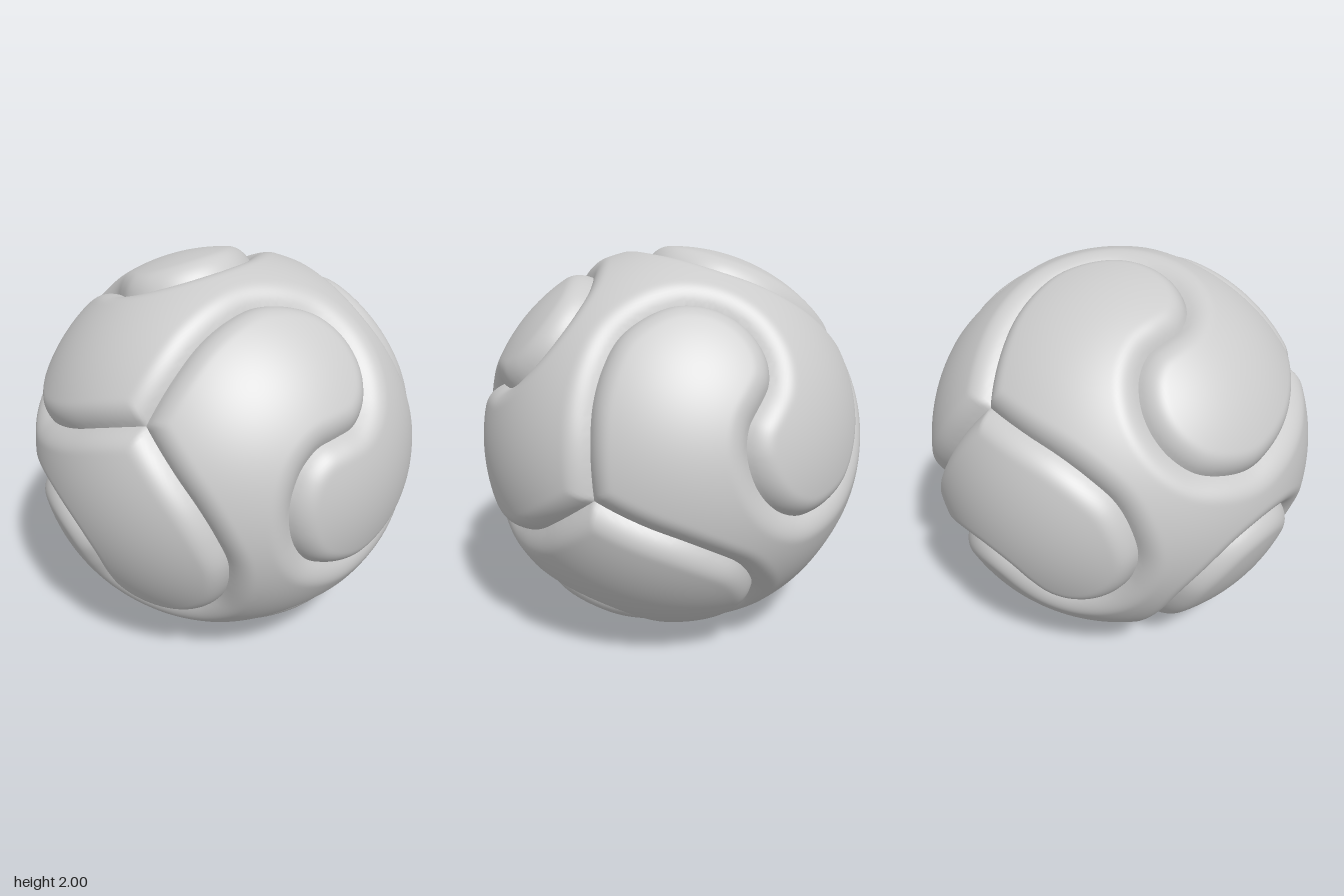
import * as THREE from 'three';
import { mergeVertices } from 'three/addons/utils/BufferGeometryUtils.js';

const GROOVE_DEPTH = 0.063;
const GROOVE_WIDTH = 0.12;
const SNAP = 0.0094; // half the longest mesh edge, so that no edge straddles a seam

// Half of one S-shaped seam, seen along its midpoint: from a three-way corner to the middle.
const HALF_SEAM = [
  [0.5774, 0.5774], [0.681, 0.329], [0.718, 0.147], [0.714, -0.033], [0.672, -0.195],
  [0.575, -0.328], [0.446, -0.422], [0.307, -0.448], [0.195, -0.428], [0.105, -0.382],
  [0.035, -0.315], [-0.015, -0.23], [-0.033, -0.115], [0, 0],
];

// Six seams with the rotational symmetry of a tetrahedron.
function makeSeams() {
  const onSphere = ([u, v]) => new THREE.Vector3(u, v, Math.sqrt(1 - u * u - v * v));
  const mirrored = HALF_SEAM.slice(0, -1).reverse().map(([u, v]) => [-u, -v]);
  const curve = new THREE.CatmullRomCurve3([...HALF_SEAM, ...mirrored].map(onSphere));
  const base = curve.getSpacedPoints(140).map((p) => p.normalize());
  const seams = [];
  for (const flip of [1, -1]) {
    const seam = base.map((p) => new THREE.Vector3(p.x, flip * p.y, flip * p.z));
    seams.push(
      seam,
      seam.map((p) => new THREE.Vector3(p.z, p.x, p.y)),
      seam.map((p) => new THREE.Vector3(p.y, p.z, p.x)),
    );
  }
  return seams;
}

// Nearest point on any seam.
function nearestOnSeams(p, seams, target) {
  let best = Infinity;
  for (const seam of seams) {
    for (let i = 0; i < seam.length - 1; i++) {
      const a = seam[i], b = seam[i + 1];
      const dx = b.x - a.x, dy = b.y - a.y, dz = b.z - a.z;
      const px = p.x - a.x, py = p.y - a.y, pz = p.z - a.z;
      let t = (px * dx + py * dy + pz * dz) / (dx * dx + dy * dy + dz * dz);
      t = Math.min(1, Math.max(0, t));
      const d = (px - t * dx) ** 2 + (py - t * dy) ** 2 + (pz - t * dz) ** 2;
      if (d < best) {
        best = d;
        target.set(a.x + t * dx, a.y + t * dy, a.z + t * dz);
      }
    }
  }
  return Math.sqrt(best);
}

export function createModel() {
  const group = new THREE.Group();
  group.name = 'ball';
  const seams = makeSeams();

  // Fine, even sphere with shared vertices
  const raw = new THREE.IcosahedronGeometry(1, 71);
  raw.deleteAttribute('normal');
  raw.deleteAttribute('uv');
  const sphere = mergeVertices(raw, 1e-5);
  const pos = sphere.attributes.position;
  const index = sphere.index.array;

  // Press the grooves in, moving the closest vertices exactly onto the seam
  const onSeam = new Uint8Array(pos.count);
  const p = new THREE.Vector3(), foot = new THREE.Vector3();
  for (let i = 0; i < pos.count; i++) {
    p.fromBufferAttribute(pos, i).normalize();
    let d = nearestOnSeams(p, seams, foot);
    if (d < SNAP) {
      onSeam[i] = 1;
      p.copy(foot).normalize();
      d = 0;
    }
    const t = Math.min(1, d / GROOVE_WIDTH);
    p.multiplyScalar(1 - GROOVE_DEPTH * (1 - t) ** 2);
    pos.setXYZ(i, p.x, p.y, p.z);
  }

  // Join vertices that belong to the same panel
  const parent = Array.from({ length: pos.count }, (_, i) => i);
  const root = (i) => {
    while (parent[i] !== i) i = parent[i] = parent[parent[i]];
    return i;
  };
  for (let f = 0; f < index.length; f += 3) {
    const free = [index[f], index[f + 1], index[f + 2]].filter((i) => !onSeam[i]);
    for (let k = 1; k < free.length; k++) parent[root(free[k])] = root(free[0]);
  }

  // Sort the faces into panels
  const panels = new Map();
  const leftovers = [];
  for (let f = 0; f < index.length; f += 3) {
    const face = [index[f], index[f + 1], index[f + 2]];
    const free = face.find((i) => !onSeam[i]);
    if (free === undefined) {
      leftovers.push(...face);
      continue;
    }
    const key = root(free);
    if (!panels.has(key)) panels.set(key, []);
    panels.get(key).push(...face);
  }
  const faceLists = [...panels.values()];
  for (const i of leftovers) faceLists[0].push(i);

  // One smooth mesh per panel, so the seam between them stays sharp
  const material = new THREE.MeshStandardMaterial({ color: 0xcccccc });
  faceLists.forEach((faces, n) => {
    const geometry = new THREE.BufferGeometry();
    geometry.setAttribute('position', pos.clone());
    geometry.setIndex(faces);
    geometry.computeVertexNormals();
    const mesh = new THREE.Mesh(mergeVertices(geometry.toNonIndexed(), 1e-5), material);
    mesh.name = `panel${n + 1}`;
    group.add(mesh);
  });

  // Turn the ball to its resting pose
  const z = new THREE.Vector3(-0.251, -0.412, 0.876).normalize();
  const y = z.clone().cross(new THREE.Vector3(0.834, 0.364, 0.415)).normalize();
  const x = y.clone().cross(z);
  group.quaternion.setFromRotationMatrix(new THREE.Matrix4().makeBasis(x, y, z));
  group.position.y = 1;
  return group;
}
